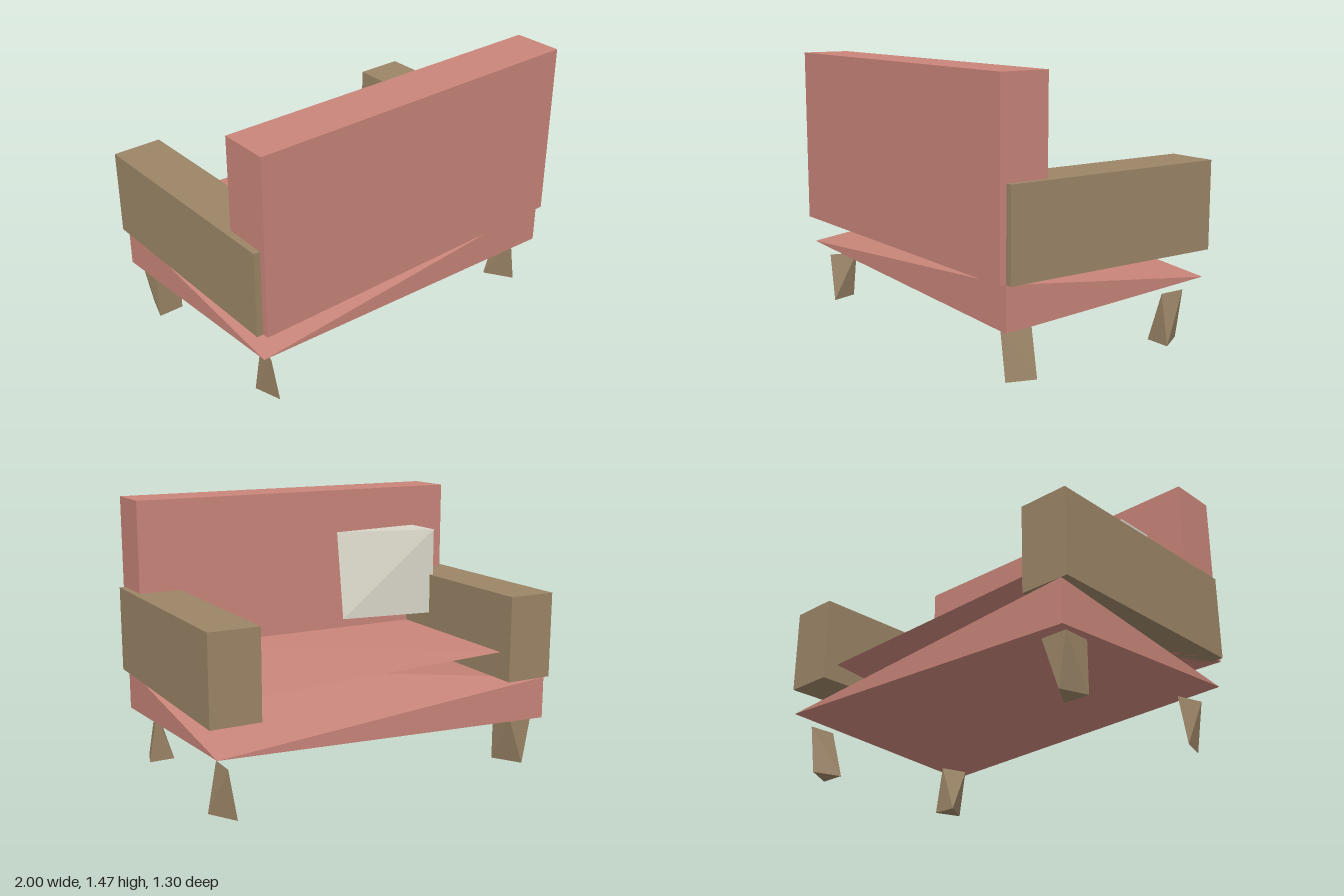
import * as THREE from 'three';
import { ConvexGeometry } from 'three/addons/geometries/ConvexGeometry.js';

const material = (color) => new THREE.MeshStandardMaterial({ color, flatShading: true });

export function createModel() {
  const group = new THREE.Group();
  const fabric = material(0xc98579);
  const wood = material(0x9c8567);
  const linen = material(0xd9d5c8);

  const add = (name, geometry, mat) => {
    const mesh = new THREE.Mesh(geometry, mat);
    mesh.name = name;
    group.add(mesh);
  };
  // box given by its two extreme corners
  const box = (name, [x0, y0, z0], [x1, y1, z1], mat) => add(name,
    new THREE.BoxGeometry(x1 - x0, y1 - y0, z1 - z0)
      .translate((x0 + x1) / 2, (y0 + y1) / 2, (z0 + z1) / 2), mat);
  // faceted solid spanned by its corners
  const wedge = (name, corners, mat) => add(name,
    new ConvexGeometry(corners.map((c) => new THREE.Vector3(...c))), mat);

  // backrest and arms
  box('backrest', [-0.965, 0.5, 0.38], [0.965, 1.465, 0.65], fabric);
  box('leftArm', [0.73, 0.5, -0.65], [1, 0.967, 0.615], wood);
  box('rightArm', [-1, 0.5, -0.65], [-0.73, 0.967, 0.615], wood);

  // base: full height at two opposite corners, pinched to a point at the others
  const X = 0.965, Z0 = -0.65, Z1 = 0.615;
  const A = [X, 0.5, Z1], a = [X, 0.27, Z1];
  const C = [-X, 0.5, Z0], c = [-X, 0.27, Z0];
  const B = [-X, 0.347, Z1], D = [X, 0.347, Z0];
  const faces = [
    A, D, C, A, C, B, // top, ridged along the diagonal
    a, B, D, B, c, D, // underside, creased along the other diagonal
    A, B, a, A, a, D, C, D, c, C, c, B, // sides
  ];
  const base = new THREE.BufferGeometry();
  base.setAttribute('position', new THREE.Float32BufferAttribute(faces.flat(), 3));
  base.computeVertexNormals();
  add('base', base, fabric);

  // seat cushion, thinning to an edge
  wedge('seatCushion', [
    [-0.735, 0.65, -0.565], [0.735, 0.6, -0.565],
    [-0.735, 0.65, 0.38], [0.735, 0.65, 0.38],
    [-0.735, 0.5, 0.38], [0.735, 0.5, 0.38],
  ], fabric);

  // loose pillow
  wedge('pillow', [
    [-0.75, 1.235, 0.13], [-0.75, 1.235, 0.365], [-0.19, 1.235, 0.285],
    [-0.75, 0.74, 0.13], [-0.75, 0.74, 0.365], [-0.19, 0.74, 0.21],
  ], linen);

  // legs, each cut differently
  const H = 0.27;
  wedge('frontLeftLeg', [
    [0.885, 0, 0.56], [0.935, 0, 0.41], [0.79, 0, 0.41],
    [0.84, H, 0.56], [0.885, H, 0.41],
  ], wood);
  wedge('backLeftLeg', [
    [0.935, 0, -0.44], [0.79, 0, -0.44], [0.84, 0, -0.59],
    [0.885, H, -0.44], [0.885, H, -0.59],
  ], wood);
  wedge('frontRightLeg', [
    [-0.84, 0, 0.56], [-0.885, 0, 0.41],
    [-0.885, H, 0.56], [-0.84, H, 0.41],
  ], wood);
  wedge('backRightLeg', [
    [-0.79, 0, -0.44], [-0.935, 0, -0.44], [-0.885, 0, -0.59],
    [-0.79, H, -0.44], [-0.935, H, -0.44], [-0.79, H, -0.59], [-0.935, H, -0.59],
  ], wood);

  return group;
}
